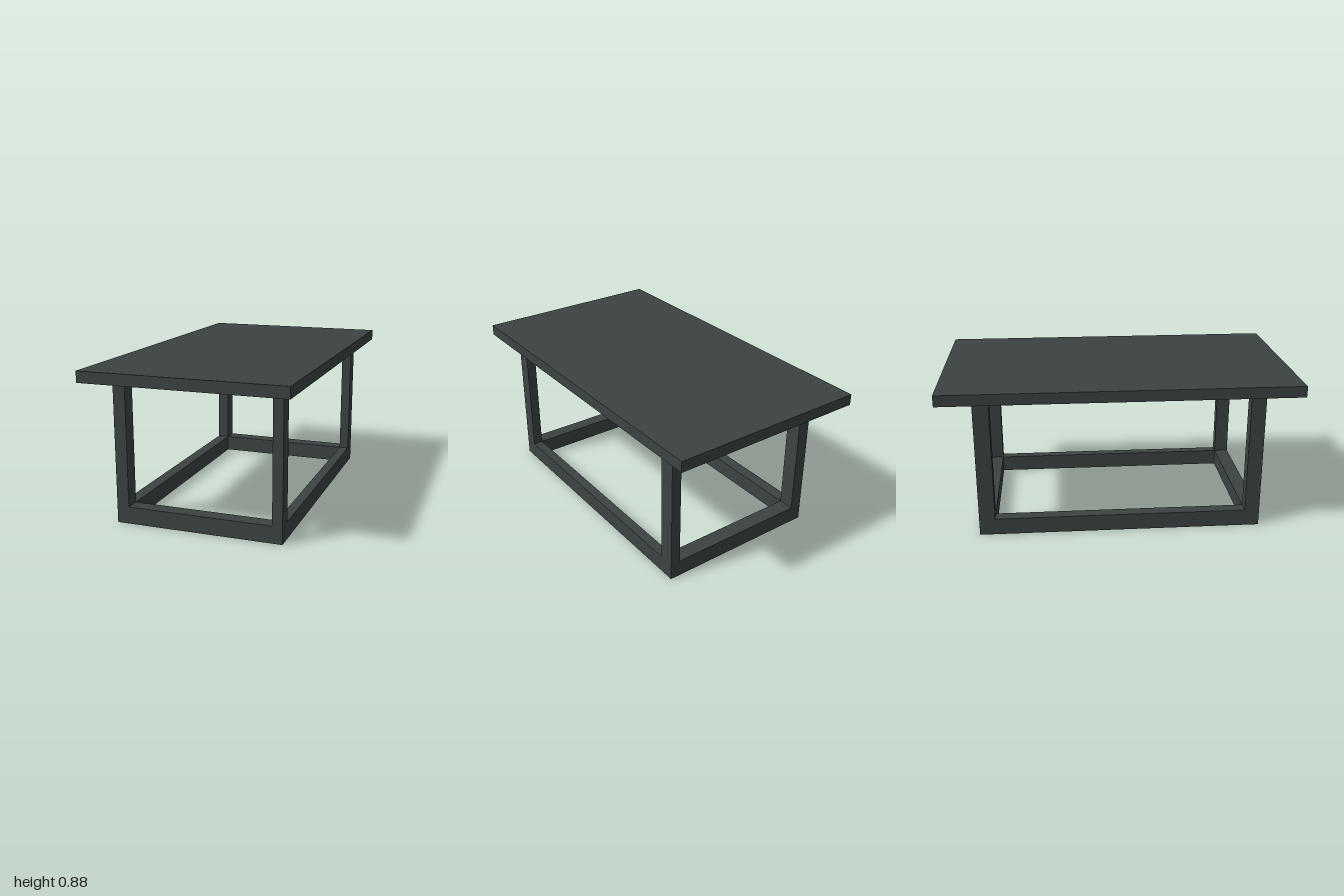
import * as THREE from 'three';

export function createModel() {
  const model = new THREE.Group();
  const charcoal = new THREE.MeshStandardMaterial({ color: 0x3c4242 });
  charcoal.name = 'charcoal';

  // Box spanning the given [min, max] ranges
  const addBox = (name, [x0, x1], [y0, y1], [z0, z1], parent = model) => {
    const mesh = new THREE.Mesh(new THREE.BoxGeometry(x1 - x0, y1 - y0, z1 - z0), charcoal);
    mesh.name = name;
    mesh.position.set((x0 + x1) / 2, (y0 + y1) / 2, (z0 + z1) / 2);
    parent.add(mesh);
  };

  // Leg footprints: the two sides differ slightly in thickness
  const sides = { right: [-0.47, -0.4], left: [0.428, 0.485] };
  const ends = { front: [0.725, 0.81], back: [-0.813, -0.722] };
  const underside = 0.82;
  const railHeight = 0.097;

  addBox('tableTop', [-0.573, 0.573], [underside, 0.883], [-1, 1]);

  const frame = new THREE.Group();
  frame.name = 'frame';
  model.add(frame);

  // Four legs reaching the floor
  for (const [end, z] of Object.entries(ends)) {
    for (const [side, x] of Object.entries(sides)) {
      addBox(`${end}${side === 'left' ? 'Left' : 'Right'}Leg`, x, [0, underside], z, frame);
    }
  }

  // Floor rails joining the legs
  for (const [end, z] of Object.entries(ends)) {
    addBox(`${end}Rail`, [sides.right[1], sides.left[0]], [0, railHeight], z, frame);
  }
  for (const [side, x] of Object.entries(sides)) {
    addBox(`${side}Rail`, x, [0, railHeight], [ends.back[1], ends.front[0]], frame);
  }

  return model;
}
